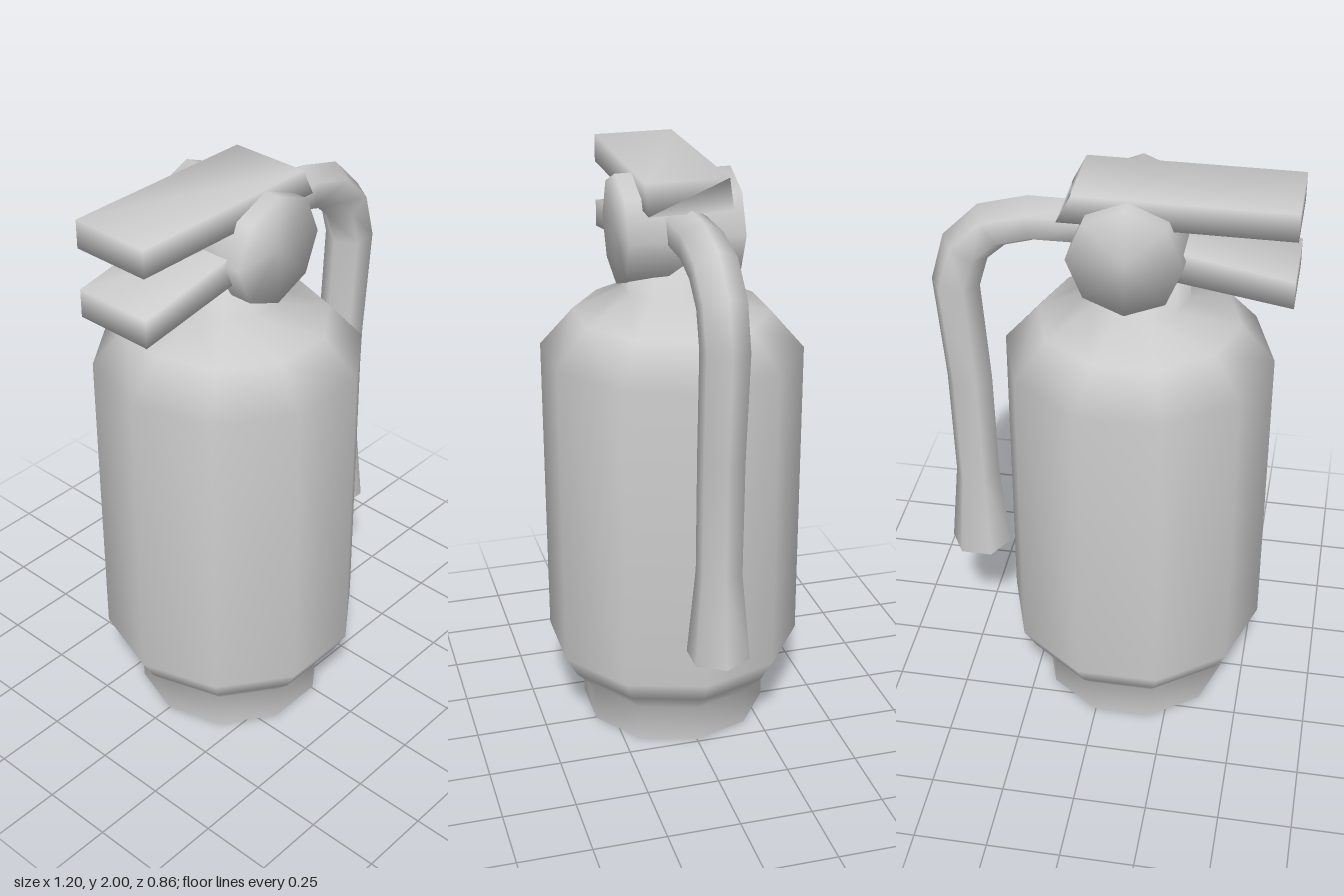
import * as THREE from 'three';
import { mergeVertices } from 'three/addons/utils/BufferGeometryUtils.js';

const material = new THREE.MeshStandardMaterial({ color: 0xcccccc, side: THREE.DoubleSide });
const AXIS_X = -0.095;

// Share all corner vertices so shading flows across the edges
function smooth(geometry) {
  geometry.deleteAttribute('normal');
  geometry.deleteAttribute('uv');
  const merged = mergeVertices(geometry, 1e-4);
  merged.computeVertexNormals();
  return merged;
}

function addMesh(group, name, geometry) {
  const mesh = new THREE.Mesh(geometry, material);
  mesh.name = name;
  group.add(mesh);
  return mesh;
}

// Side outline in x and y, extruded symmetrically across z
function slab(outline, width) {
  const shape = new THREE.Shape(outline.map(([x, y]) => new THREE.Vector2(x, y)));
  const geometry = new THREE.ExtrudeGeometry(shape, { depth: width, bevelEnabled: false });
  geometry.translate(0, 0, -width / 2);
  return smooth(geometry);
}

// Six-sided tube through rings, each given by its outer and inner edge points
function hoseGeometry(rings, sides = 6) {
  const positions = [], index = [];
  rings.forEach(([ox, oy, ix, iy], r) => {
    const cx = (ox + ix) / 2, cy = (oy + iy) / 2;
    const hx = (ox - ix) / 2, hy = (oy - iy) / 2;
    const radius = Math.hypot(hx, hy);
    for (let s = 0; s < sides; s++) {
      const a = (s / sides) * Math.PI * 2;
      positions.push(cx + hx * Math.cos(a), cy + hy * Math.cos(a), radius * Math.sin(a));
      if (r === rings.length - 1) continue;
      const p = r * sides + s, q = r * sides + (s + 1) % sides;
      index.push(p, q, p + sides, q, q + sides, p + sides);
    }
  });
  const geometry = new THREE.BufferGeometry();
  geometry.setAttribute('position', new THREE.Float32BufferAttribute(positions, 3));
  geometry.setIndex(index);
  geometry.computeVertexNormals();
  return geometry;
}

export function createModel() {
  const group = new THREE.Group();
  group.name = 'fireExtinguisher';

  // Ten-sided tank with open foot ring, shoulder and neck
  const profile = [
    [0.33, 0], [0.33, 0.13], [0.405, 0.21], [0.45, 0.29], [0.45, 1.38],
    [0.335, 1.51], [0.167, 1.59], [0.167, 1.73], [0, 1.74],
  ].map(([r, y]) => new THREE.Vector2(r, y));
  const tank = addMesh(group, 'tank', new THREE.LatheGeometry(profile, 10, Math.PI / 2));
  tank.position.x = AXIS_X;

  // Valve drum lying front to back
  const drum = new THREE.CylinderGeometry(0.185, 0.185, 0.39, 8);
  drum.rotateX(Math.PI / 2);
  const valve = addMesh(group, 'valve', smooth(drum));
  valve.position.set(-0.075, 1.808, 0);

  // Carrying handle and squeeze lever
  addMesh(group, 'handle', slab([[-0.6, 1.905], [0.148, 1.905], [0.1, 2], [-0.6, 2]], 0.28));
  addMesh(group, 'lever', slab([[-0.6, 1.67], [-0.13, 1.745], [-0.13, 1.85], [-0.6, 1.765]], 0.28));

  // Hose flaring into an open nozzle
  addMesh(group, 'hose', hoseGeometry([
    [0, 1.915, 0, 1.76],
    [0.265, 1.915, 0.25, 1.757],
    [0.43, 1.87, 0.345, 1.73],
    [0.55, 1.75, 0.405, 1.675],
    [0.597, 1.58, 0.435, 1.57],
    [0.566, 1.2, 0.41, 1.21],
    [0.556, 0.8, 0.4, 0.8],
    [0.585, 0.49, 0.37, 0.49],
  ]));

  return group;
}
